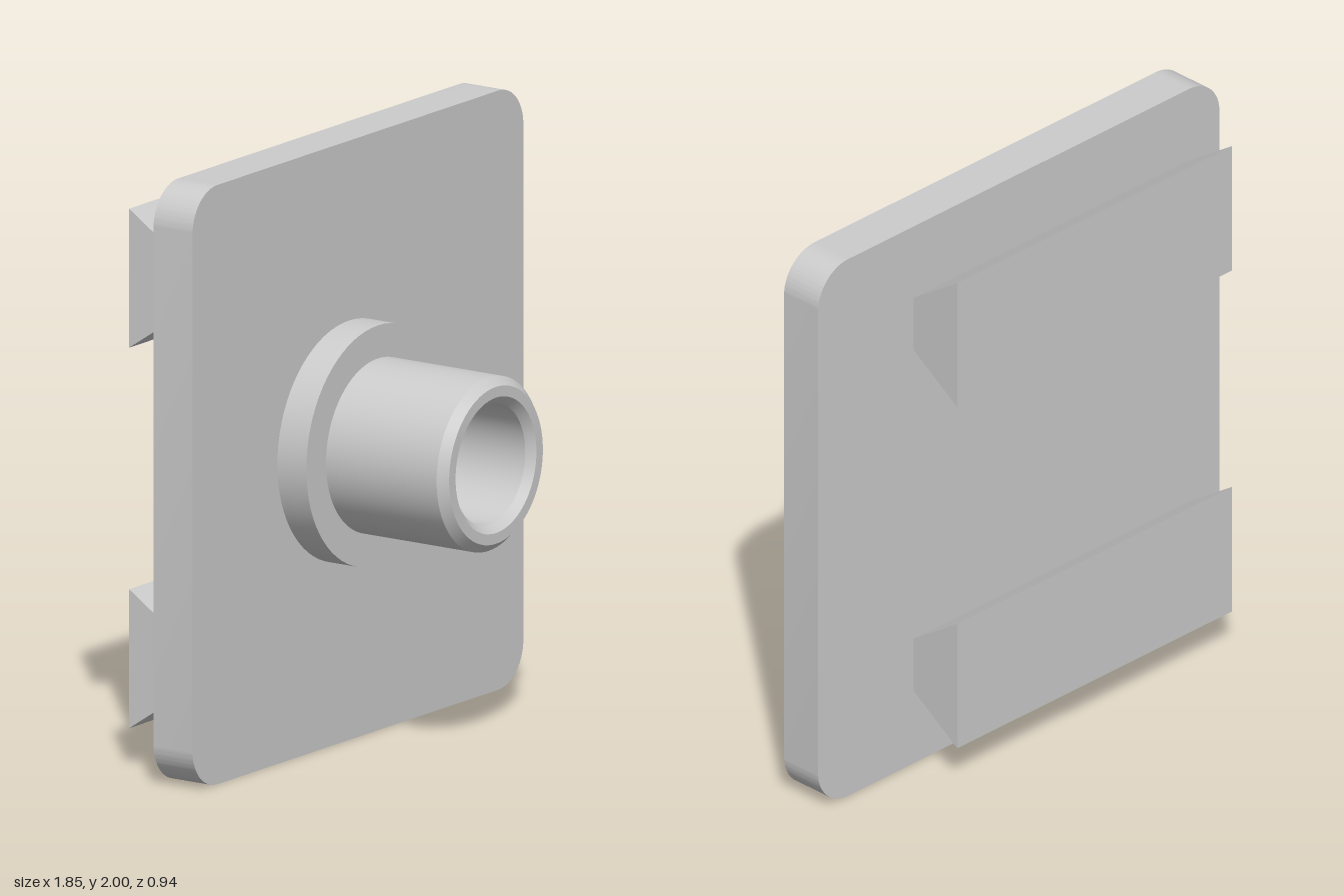
import * as THREE from 'three';
import { toCreasedNormals } from 'three/addons/utils/BufferGeometryUtils.js';

const material = new THREE.MeshStandardMaterial({ color: 0xcccccc });

function addPart(group, name, geometry) {
  const mesh = new THREE.Mesh(toCreasedNormals(geometry, 0.5), material);
  mesh.name = name;
  group.add(mesh);
  return mesh;
}

function roundedRect(w, h, r) {
  const x = w / 2, y = h / 2, s = new THREE.Shape();
  s.absarc(x - r, y - r, r, 0, Math.PI / 2);
  s.absarc(-x + r, y - r, r, Math.PI / 2, Math.PI);
  s.absarc(-x + r, -y + r, r, Math.PI, Math.PI * 1.5);
  s.absarc(x - r, -y + r, r, Math.PI * 1.5, Math.PI * 2);
  s.closePath();
  return s;
}

export function createModel() {
  const group = new THREE.Group();
  const plateBack = -0.27, plateFront = -0.115;

  // Mounting plate with rounded corners
  const plate = new THREE.ExtrudeGeometry(roundedRect(1.85, 2, 0.14), {
    depth: plateFront - plateBack, bevelEnabled: false, curveSegments: 16,
  });
  plate.translate(0, 1, plateBack);
  addPart(group, 'plate', plate);

  // Flanged hollow spigot: outside from the plate forward, then back down the bore
  const profile = [
    [0.4, plateFront], [0.4, 0], [0.29, 0], [0.29, 0.44], [0.262, 0.47],
    [0.226, 0.47], [0.2, 0.444], [0.2, plateFront],
  ].map(([r, z]) => new THREE.Vector2(r, z));
  const spigot = new THREE.LatheGeometry(profile, 72);
  spigot.rotateX(Math.PI / 2);
  spigot.translate(-0.05, 1, 0);
  addPart(group, 'spigot', spigot);

  // Two dovetail rails on the back, off-centre to the right
  const xMin = -0.78, xMax = 0.485, depth = 0.2;
  const section = new THREE.Shape([
    new THREE.Vector2(0, -0.097), new THREE.Vector2(depth, -0.232),
    new THREE.Vector2(depth, 0.232), new THREE.Vector2(0, 0.097),
  ]);
  [['lowerRail', 0.367], ['upperRail', 1.637]].forEach(([name, y]) => {
    const rail = new THREE.ExtrudeGeometry(section, { depth: xMax - xMin, bevelEnabled: false });
    rail.rotateY(Math.PI / 2); // section depth now points to -z, length to +x
    rail.translate(xMin, y, plateBack);
    addPart(group, name, rail);
  });

  return group;
}
